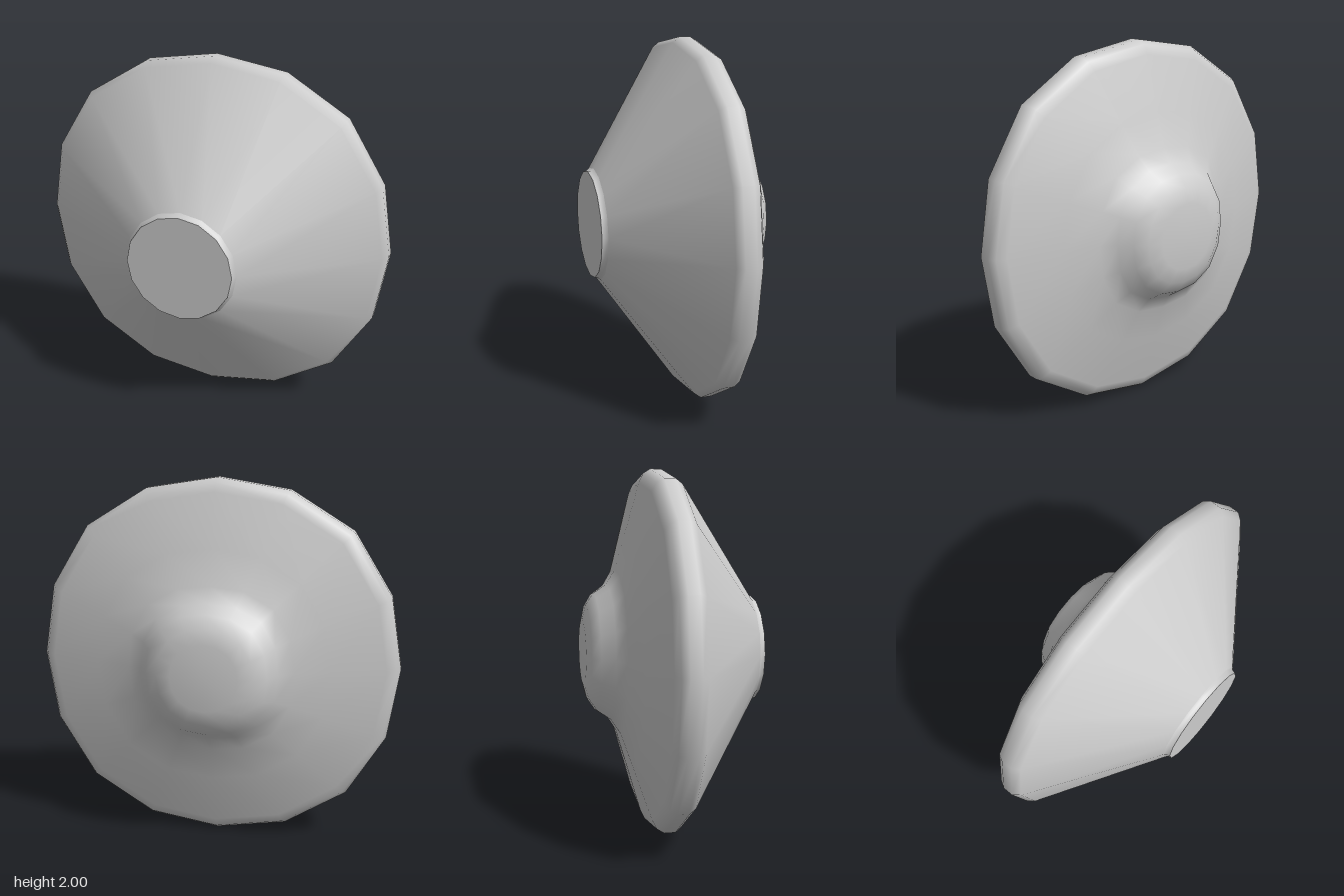
import * as THREE from 'three';
import { mergeVertices } from 'three/addons/utils/BufferGeometryUtils.js';

const SIDES = 16;

// Turned shell around z from [radius, z, squareness] rows, listed back to front.
function shell(rows) {
  const pts = rows.map(([r, z]) => new THREE.Vector2(r, z));
  let geo = new THREE.LatheGeometry(pts, SIDES);
  const pos = geo.attributes.position;
  for (let i = 0; i < pos.count; i++) {
    const x = pos.getX(i), z = pos.getZ(i);
    // widen the diagonals a little so the outline is slightly squarish
    const s = Math.sin(2 * Math.atan2(z, x)) ** 2;
    const k = 1 + rows[i % rows.length][2] * s;
    pos.setX(i, x * k);
    pos.setZ(i, z * k);
  }
  geo.deleteAttribute('uv');
  geo.deleteAttribute('normal');
  geo = mergeVertices(geo, 1e-4);
  geo.rotateX(Math.PI / 2);
  geo.computeVertexNormals();
  return geo;
}

export function createModel() {
  const group = new THREE.Group();
  const material = new THREE.MeshStandardMaterial({ color: 0xcccccc });
  const add = (name, geo) => {
    const mesh = new THREE.Mesh(geo, material);
    mesh.name = name;
    mesh.position.y = 1;
    group.add(mesh);
  };

  // Back dome, flared neck, rounded rim and front cone
  add('discBody', shell([
    [0, -0.483, 0],
    [0.18, -0.478, 0.02],
    [0.26, -0.458, 0.03],
    [0.325, -0.415, 0.05],
    [0.37, -0.345, 0.07],
    [0.45, -0.295, 0.07],
    [0.64, -0.24, 0.04],
    [0.925, -0.157, 0.03],
    [0.975, -0.133, 0.03],
    [0.998, -0.095, 0.03],
    [0.998, -0.035, 0.03],
    [0.968, 0.003, 0.03],
    [0.31, 0.452, 0],
  ]));

  // Short collar at the front
  add('frontCollar', shell([
    [0.31, 0.452, 0],
    [0.298, 0.465, 0],
    [0.294, 0.483, 0],
  ]));

  // Flat front face
  const face = new THREE.CircleGeometry(0.294, SIDES);
  face.translate(0, 0, 0.483);
  add('frontFace', face);

  return group;
}
